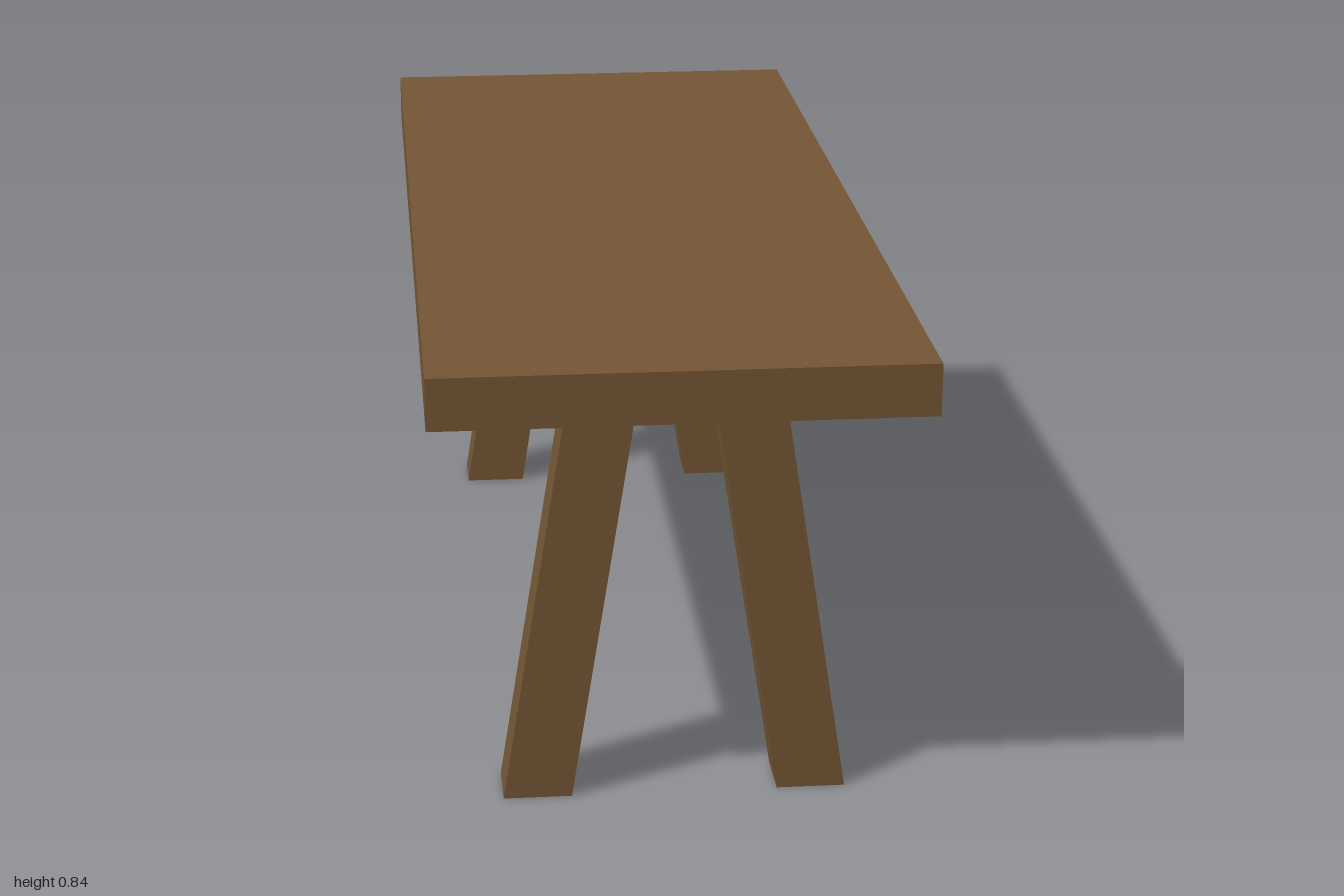
import * as THREE from 'three';

export function createModel() {
  const model = new THREE.Group();
  model.name = 'table';
  const wood = new THREE.MeshStandardMaterial({ color: 0x765735 });
  wood.name = 'brown wood';

  // Thick plank top
  const top = new THREE.Mesh(new THREE.BoxGeometry(0.832, 0.09, 2), wood);
  top.name = 'tableTop';
  top.position.y = 0.798;
  model.add(top);

  // Splayed legs: square posts sheared outwards, ends kept level
  const legHeight = 0.75;
  const splay = 0.118;
  function addLeg(name, side, z) {
    const geometry = new THREE.BoxGeometry(0.119, legHeight, 0.1);
    const shear = new THREE.Matrix4().set(
      1, -side * splay / legHeight, 0, 0,
      0, 1, 0, 0,
      0, 0, 1, 0,
      0, 0, 0, 1
    );
    geometry.applyMatrix4(shear);
    geometry.computeVertexNormals();
    const leg = new THREE.Mesh(geometry, wood);
    leg.name = name;
    leg.position.set(0.006 + side * 0.18, legHeight / 2, z);
    model.add(leg);
  }
  for (const [end, z] of [['front', 0.76], ['back', -0.768]]) {
    addLeg(end + 'LeftLeg', 1, z);
    addLeg(end + 'RightLeg', -1, z);
  }

  return model;
}
